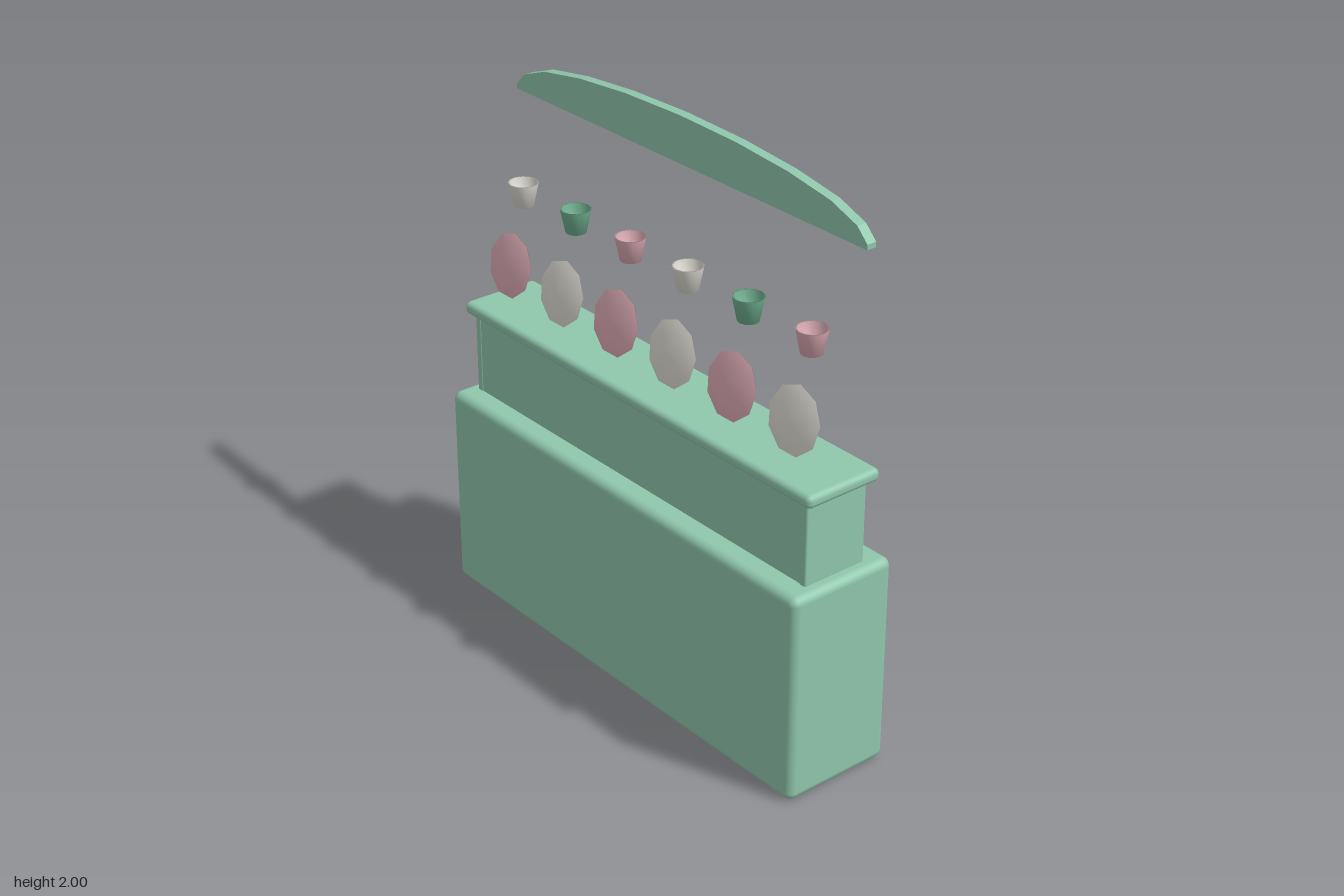
import * as THREE from 'three';
import { RoundedBoxGeometry } from 'three/addons/geometries/RoundedBoxGeometry.js';

const mat = (name, color, side = THREE.FrontSide) => {
  const m = new THREE.MeshStandardMaterial({ color, side });
  m.name = name;
  return m;
};

export function createModel() {
  const green = mat('sage green paint', 0x8fc6ac);
  const pink = mat('pink china', 0xd9a8b2, THREE.DoubleSide);
  const white = mat('white china', 0xdad8d0, THREE.DoubleSide);
  const jade = mat('jade china', 0x6fae8f, THREE.DoubleSide);
  const gold = mat('gold trim', 0xb98f45);

  const root = new THREE.Group();
  root.name = 'dresser';
  const add = (name, geo, material, x = 0, y = 0, z = 0, parent = root) => {
    const mesh = new THREE.Mesh(geo, material);
    mesh.name = name;
    mesh.position.set(x, y, z);
    parent.add(mesh);
    return mesh;
  };
  // Rounded box given by its limits on each axis
  const box = (name, x0, x1, y0, y1, z0, z1, r) =>
    add(name, new RoundedBoxGeometry(x1 - x0, y1 - y0, z1 - z0, 3, r), green,
      (x0 + x1) / 2, (y0 + y1) / 2, (z0 + z1) / 2);
  // Closed outline from its right half, listed from bottom to top centre
  const mirrored = (half) => [
    ...half, ...half.slice(0, -1).reverse().map(([x, y]) => [-x, y]),
  ].map(([x, y]) => new THREE.Vector2(x, y));
  const extrude = (shape, depth) =>
    new THREE.ExtrudeGeometry(shape, { depth, bevelEnabled: false });

  // Cabinet and hutch
  box('cabinetBody', -0.905, 0.905, 0, 0.76, -0.19, 0.2265, 0.03);
  for (const s of [-1, 1]) {
    const x = s * 0.845;
    box('hutchSide', x - 0.015, x + 0.015, 0.74, 1.08, -0.105, 0.143, 0.008);
  }
  box('hutchBack', -0.84, 0.84, 0.74, 1.08, 0.118, 0.14, 0.005);
  box('hutchShelf', -0.892, 0.892, 1.05, 1.097, -0.133, 0.167, 0.02);

  // Arched crest
  const crest = new THREE.Shape(mirrored([
    [0.86, 1.837], [0.86, 1.855], [0.815, 1.9], [0.7, 1.942],
    [0.51, 1.973], [0.27, 1.993], [0, 2],
  ]));
  add('archedCrest', extrude(crest, 0.035), green, 0, 0, -0.1);

  // Drawers with knobs
  for (const x of [-0.57, 0, 0.57]) {
    box('drawerFront', x - 0.277, x + 0.277, 0.6, 0.73, -0.205, -0.17, 0.008);
    add('drawerKnob', new THREE.SphereGeometry(0.014, 12, 8), gold, x, 0.66, -0.214);
  }

  // Arched door frames
  const arch = mirrored([
    [0.377, 0.08], [0.377, 0.39], [0.365, 0.425], [0.335, 0.455],
    [0.27, 0.485], [0.14, 0.51], [0, 0.517],
  ]);
  const inner = arch.map((p) => new THREE.Vector2(p.x * 0.947, 0.298 + (p.y - 0.298) * 0.91));
  const frame = new THREE.Shape(arch);
  frame.holes.push(new THREE.Path(inner));
  for (const x of [-0.455, 0.455]) {
    add('doorFrame', extrude(frame, 0.03), gold, x, 0, -0.209);
    add('doorPanel', extrude(new THREE.Shape(inner), 0.02), green, x, 0, -0.196);
  }

  // Leaning plates, two rows with alternating colours
  const plateProfile = [
    [0, -0.012], [0.06, -0.009], [0.115, 0.004], [0.112, 0.008],
    [0.085, 0.004], [0.078, -0.001], [0, -0.001],
  ].map(([x, y]) => new THREE.Vector2(x, y));
  const plateGeo = new THREE.LatheGeometry(plateProfile, 9).rotateX(-Math.PI / 2);
  const rimGeo = new THREE.TorusGeometry(0.1, 0.005, 6, 9).rotateZ(Math.PI / 2);
  // Tapered cups, open at the top
  const cupProfile = [[0, 0], [0.036, 0], [0.053, 0.083], [0.048, 0.083], [0.033, 0.008], [0, 0.008]]
    .map(([x, y]) => new THREE.Vector2(x, y));
  const cupGeo = new THREE.LatheGeometry(cupProfile, 12);
  const cupColours = [white, jade, pink];

  for (let i = 0; i < 6; i++) {
    const x = -0.725 + i * 0.29;
    [1.27, 0.94].forEach((y, row) => {
      const isPink = (i + row) % 2 === 0;
      const plate = new THREE.Group();
      plate.name = 'plate';
      plate.position.set(x, y, 0.088);
      plate.rotation.x = -0.22;
      root.add(plate);
      add('plateDish', plateGeo, isPink ? pink : white, 0, 0, 0, plate);
      add('plateRim', rimGeo, isPink ? gold : white, 0, 0, -0.006, plate);
    });
    add('cup', cupGeo, cupColours[i % 3], x, 1.476, 0.018);
  }
  return root;
}
